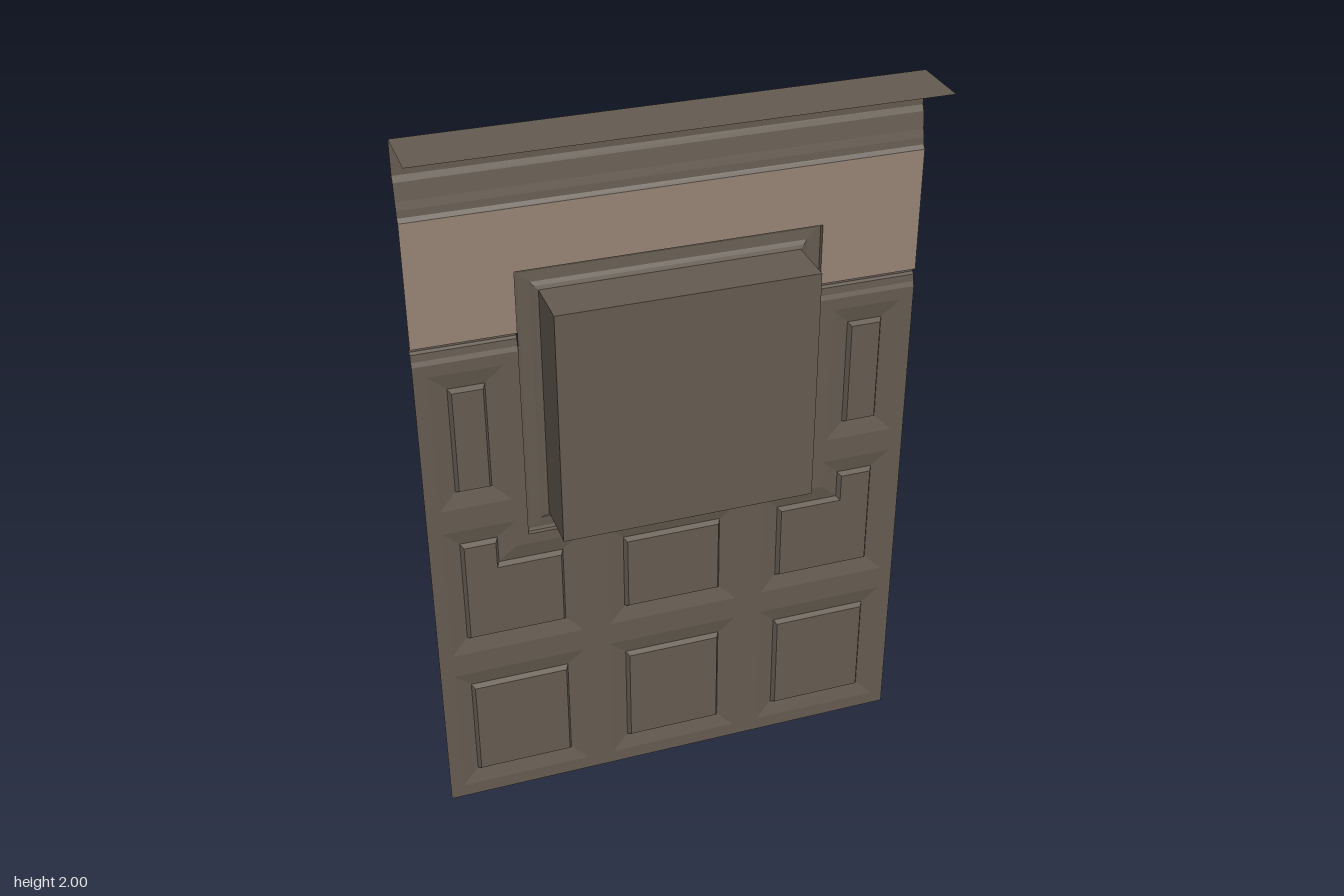
import * as THREE from 'three';

const WALL_Z = -0.056;
const HALF = 0.667;

const wood = new THREE.MeshStandardMaterial({ color: 0x645b50, side: THREE.DoubleSide });
wood.name = 'dark wood';
const plaster = new THREE.MeshStandardMaterial({ color: 0x968273, side: THREE.DoubleSide });
plaster.name = 'tan plaster';

// Counter-clockwise rectangle
const rect = (x0, y0, x1, y1) => [[x0, y0], [x1, y0], [x1, y1], [x0, y1]];

// Move every edge of a right-angled outline inwards by d
function inset(points, d) {
  const n = points.length;
  const inward = (a, b) => {
    const l = Math.hypot(b[0] - a[0], b[1] - a[1]);
    return [-(b[1] - a[1]) / l, (b[0] - a[0]) / l];
  };
  return points.map((p, i) => {
    const a = inward(points[(i + n - 1) % n], p);
    const b = inward(p, points[(i + 1) % n]);
    return [p[0] + d * (a[0] + b[0]), p[1] + d * (a[1] + b[1])];
  });
}

function mesh(name, geometry, material) {
  const m = new THREE.Mesh(geometry, material);
  m.name = name;
  return m;
}

function quads(list) {
  const pos = [];
  for (const [a, b, c, d] of list) pos.push(...a, ...b, ...c, ...a, ...c, ...d);
  const g = new THREE.BufferGeometry();
  g.setAttribute('position', new THREE.Float32BufferAttribute(pos, 3));
  g.computeVertexNormals();
  return g;
}

// Flat sheet facing -z, with optional openings
function sheet(name, outline, holes, z, material) {
  const toPath = (P, pts) => new P(pts.map(([x, y]) => new THREE.Vector2(x, y)));
  const shape = toPath(THREE.Shape, outline);
  shape.holes = holes.map((h) => toPath(THREE.Path, h));
  const g = new THREE.ShapeGeometry(shape);
  const idx = g.index.array;
  for (let i = 0; i < idx.length; i += 3) [idx[i], idx[i + 1]] = [idx[i + 1], idx[i]];
  g.computeVertexNormals();
  g.translate(0, 0, z);
  return mesh(name, g, material);
}

// Moulding around an outline; profile holds [inset, z] steps
function moulding(name, outline, profile) {
  const rings = profile.map(([d, z]) => inset(outline, d).map(([x, y]) => [x, y, z]));
  const list = [];
  for (let r = 0; r + 1 < rings.length; r++) {
    const a = rings[r], b = rings[r + 1];
    a.forEach((p, i) => {
      const j = (i + 1) % a.length;
      list.push([p, b[i], b[j], a[j]]);
    });
  }
  return mesh(name, quads(list), wood);
}

// Straight strip along x; profile holds [z, y] steps going upwards
function strip(name, x0, x1, profile) {
  const list = [];
  for (let i = 0; i + 1 < profile.length; i++) {
    const [z0, y0] = profile[i], [z1, y1] = profile[i + 1];
    list.push([[x0, y0, z0], [x0, y1, z1], [x1, y1, z1], [x1, y0, z0]]);
  }
  return mesh(name, quads(list), wood);
}

function bar(name, w, h, d, x, y, z) {
  const m = mesh(name, new THREE.BoxGeometry(w, h, d), wood);
  m.position.set(x, y, z);
  return m;
}

export function createModel() {
  const group = new THREE.Group();
  group.name = 'panelledWall';

  // Panel fields: plain rectangles, and notched ones below the window corners
  const mirror = (pts) => pts.map(([x, y]) => [-x, y]).reverse();
  const side = rect(-0.575, 1.04, -0.495, 1.33);
  const notched = [[-0.575, 0.565], [-0.315, 0.565], [-0.315, 0.78],
    [-0.49, 0.78], [-0.49, 0.86], [-0.575, 0.86]];
  const fields = [side, mirror(side), notched, mirror(notched), rect(-0.13, 0.565, 0.13, 0.78)];
  for (const x of [-0.445, 0, 0.445]) fields.push(rect(x - 0.13, 0.095, x + 0.13, 0.385));
  const borders = fields.map((f) => inset(f, -0.055));

  // Lower wall with openings, cut away around the window
  const railY = 1.418, bandY = 1.468;
  group.add(sheet('lowerWall', [[-HALF, 0], [HALF, 0], [HALF, railY], [0.4, railY],
    [0.4, 0.865], [-0.4, 0.865], [-0.4, railY], [-HALF, railY]], borders, WALL_Z, wood));

  // Raised panels with sloping borders and sunk fields
  borders.forEach((b, i) => {
    const panel = new THREE.Group();
    panel.name = 'panel' + (i + 1);
    panel.add(moulding('panelBorder', b, [[0, WALL_Z], [0.047, -0.066], [0.055, -0.052]]));
    panel.add(sheet('panelField', fields[i], [], -0.052, wood));
    group.add(panel);
  });

  // Plaster band above the panelling
  group.add(sheet('plasterBand', [[-HALF, bandY], [-0.4, bandY], [-0.4, 1.635], [0.4, 1.635],
    [0.4, bandY], [HALF, bandY], [HALF, 1.802], [-HALF, 1.802]], [], WALL_Z, plaster));

  // Rail on both sides of the window
  const rail = [[WALL_Z, railY], [-0.061, 1.43], [-0.063, 1.45], [-0.071, 1.455],
    [-0.071, 1.464], [WALL_Z, bandY]];
  group.add(strip('railRight', -HALF, -0.4, rail));
  group.add(strip('railLeft', 0.4, HALF, rail));

  // Cornice with a flat top
  group.add(strip('cornice', -HALF, HALF, [[WALL_Z, 1.802], [-0.064, 1.812], [-0.066, 1.83],
    [-0.071, 1.85], [-0.078, 1.895], [-0.085, 1.91], [-0.085, 2], [0.085, 2]]));

  // Window frame and the deep niche behind it
  group.add(moulding('windowFrame', rect(-0.4, 0.865, 0.4, 1.635), [[0, WALL_Z], [0.002, -0.066],
    [0.01, -0.069], [0.038, -0.066], [0.048, -0.06], [0.058, WALL_Z]]));
  const niche = rect(-0.342, 0.923, 0.342, 1.577);
  group.add(moulding('nicheSides', niche, [[0, WALL_Z], [0, 0.085]]));
  group.add(sheet('nicheBack', niche, [], 0.085, wood));

  // Crossing window bars
  group.add(bar('uprightBar', 0.04, 0.654, 0.035, 0, 1.25, 0.066));
  group.add(bar('crossBar', 0.684, 0.04, 0.033, 0, 1.25, 0.066));

  return group;
}
